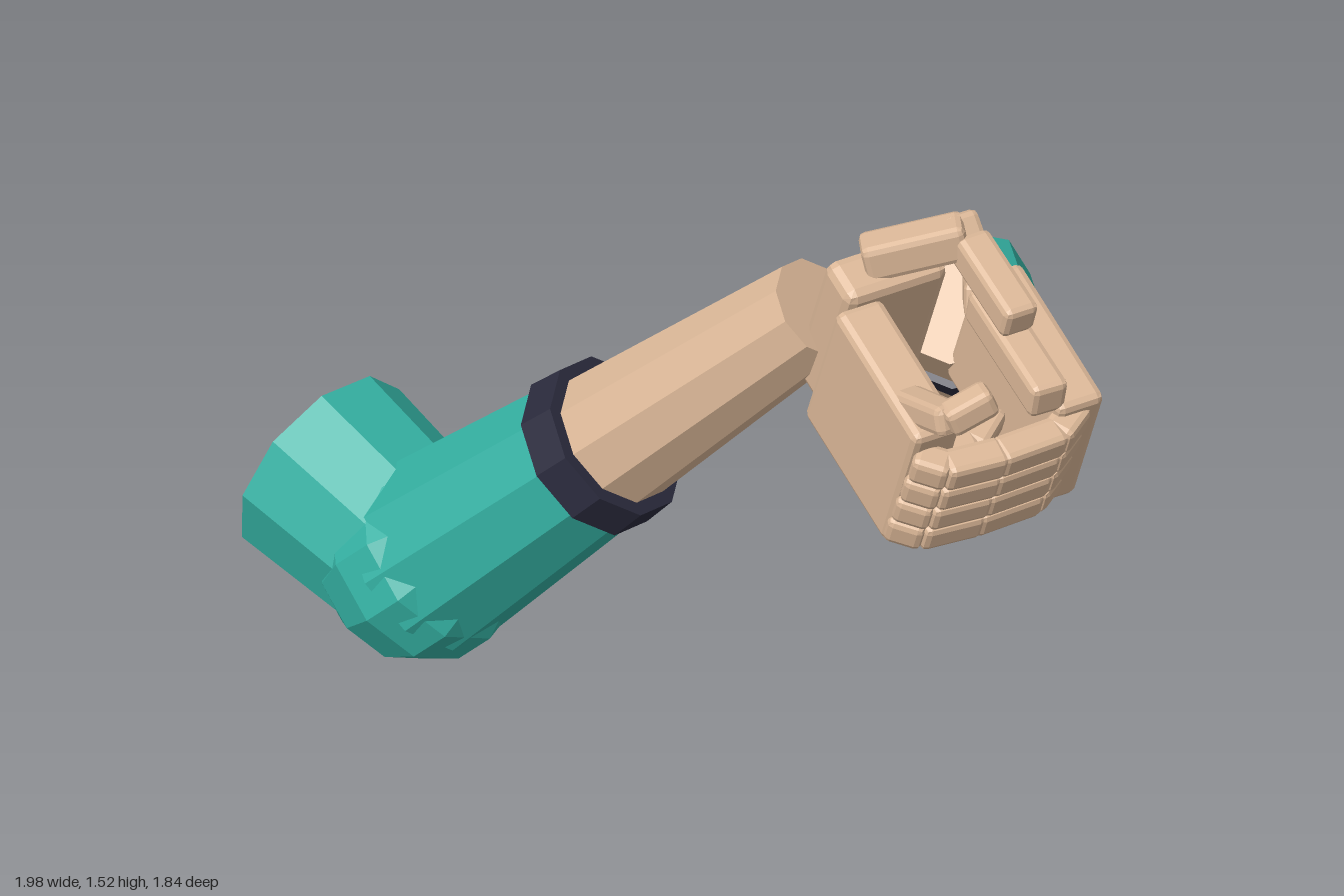
import * as THREE from 'three';
import { RoundedBoxGeometry } from 'three/addons/geometries/RoundedBoxGeometry.js';

const mat = (color) => new THREE.MeshStandardMaterial({ color, flatShading: true });
const skin = mat(0xdcb898), teal = mat(0x34b0a2), dark = mat(0x2b2b3d);
const V = (p) => new THREE.Vector3(...p);
const UP = new THREE.Vector3(0, 1, 0);

function add(parent, name, geometry, material, position = [0, 0, 0]) {
  const m = new THREE.Mesh(geometry, material);
  m.name = name;
  m.position.set(...position);
  parent.add(m);
  return m;
}

// Ten-sided tapered limb between two points
function limb(parent, name, a, b, ra, rb, material) {
  const d = b.clone().sub(a);
  const m = add(parent, name, new THREE.CylinderGeometry(rb, ra, d.length(), 10), material,
    a.clone().add(b).multiplyScalar(0.5).toArray());
  m.quaternion.setFromUnitVectors(UP, d.normalize());
  return m;
}

// Box with chamfered edges
function block(parent, name, size, position, material = skin, chamfer = 0.018) {
  return add(parent, name, new RoundedBoxGeometry(...size, 1, chamfer), material, position);
}

// Chamfered finger bone from a to b
function bone(parent, name, a, b, w, h = w) {
  const p = V(a), q = V(b);
  const m = add(null ?? new THREE.Group(), name,
    new RoundedBoxGeometry(w, h, p.distanceTo(q) + 0.02, 1, 0.016), skin,
    p.clone().add(q).multiplyScalar(0.5).toArray());
  m.removeFromParent();
  m.lookAt(q);
  parent.add(m);
}

// Jointed finger through a list of points
function finger(parent, name, points, w, h = w) {
  for (let i = 1; i < points.length; i++) bone(parent, name, points[i - 1], points[i], w, h);
}

function arm(name, shoulder, elbow, cuff, wrist) {
  const g = new THREE.Group();
  g.name = name;
  const [s, e, c, w] = [shoulder, elbow, cuff, wrist].map(V);
  const dir = w.clone().sub(e).normalize();
  const along = (p, t) => p.clone().addScaledVector(dir, t);
  limb(g, 'upperSleeve', e, s, 0.215, 0.24, teal);
  const ball = add(g, 'elbow', new THREE.SphereGeometry(0.235, 10, 7), teal, elbow);
  ball.quaternion.setFromUnitVectors(UP, dir);
  limb(g, 'lowerSleeve', e, c, 0.225, 0.18, teal);
  limb(g, 'cuff', along(c, -0.045), along(c, 0.045), 0.2, 0.193, dark);
  limb(g, 'forearm', c, w, 0.165, 0.12, skin);
  return g;
}

export function createModel() {
  const model = new THREE.Group();
  model.name = 'claspedArms';

  // Arms
  const left = arm('leftArm', [0.76, 0.34, -0.79], [0.7, 0.235, -0.46], [0.45, 0.67, -0.09], [0.175, 1.15, 0.32]);
  const right = arm('rightArm', [-0.76, 0.4, -0.84], [-0.69, 0.315, -0.51], [-0.44, 0.73, -0.16], [-0.14, 1.23, 0.26]);
  model.add(left, right);

  // Wristwatch on the left arm
  const axis = V([-0.25, 0.44, 0.37]).normalize();
  const mid = V([0.25, 1.02, 0.21]);
  limb(left, 'watchBand', mid.clone().addScaledVector(axis, -0.035), mid.clone().addScaledVector(axis, 0.035), 0.15, 0.147, dark);
  const watch = new THREE.Group();
  watch.name = 'watch';
  const out = V([0.9, 0.43, 0.09]);
  out.addScaledVector(axis, -out.dot(axis)).normalize();
  const side = axis.clone().cross(out);
  watch.quaternion.setFromRotationMatrix(new THREE.Matrix4().makeBasis(side, axis, out));
  watch.position.copy(mid).addScaledVector(out, 0.145);
  block(watch, 'watchCase', [0.12, 0.12, 0.045], [0, 0, 0], dark, 0.012);
  block(watch, 'watchFace', [0.085, 0.085, 0.02], [0, 0, 0.02], teal, 0.006);
  left.add(watch);

  // Both hands share a forward tilt
  const hands = new THREE.Group();
  hands.name = 'hands';
  hands.position.set(0, 1.106, 0.595);
  hands.rotation.x = 0.38;
  model.add(hands);
  block(hands, 'leftPalm', [0.12, 0.36, 0.4], [0.195, 0, 0]);
  block(hands, 'rightPalm', [0.12, 0.38, 0.38], [-0.16, 0.01, -0.02]);
  block(hands, 'rightHandBack', [0.26, 0.39, 0.12], [-0.06, 0.035, -0.265], skin, 0.025);

  // Left fingers wrap across the front, right fingers fold inside them
  for (let i = 0; i < 4; i++) {
    const y = 0.115 - i * 0.08, z = 0.205 - i * 0.006;
    finger(hands, 'leftFinger', [[0.2, y, z - 0.03], [0.13, y, z + 0.015], [-0.02, y, z + 0.02],
      [-0.15, y, z + 0.01], [-0.2, y, z - 0.035]], 0.075, 0.074);
    if (i > 0) finger(hands, 'rightFinger', [[-0.16, y, 0.12], [-0.02, y, 0.13], [0.06, y, 0.07]], 0.07);
  }

  // Raised right index finger and the two thumbs
  finger(model, 'rightIndexFinger', [[-0.17, 1.24, 0.69], [-0.16, 1.29, 0.87], [-0.07, 1.325, 0.885]], 0.07);
  finger(model, 'rightThumb', [[-0.1, 1.435, 0.41], [0.09, 1.48, 0.5]], 0.09);
  finger(model, 'rightThumb', [[0.1, 1.49, 0.5], [0.1, 1.42, 0.42]], 0.085);
  finger(model, 'rightThumb', [[0.1, 1.46, 0.52], [0.1, 1.385, 0.73]], 0.085);
  finger(model, 'leftThumb', [[0.19, 1.27, 0.42], [0.13, 1.31, 0.53], [0.115, 1.23, 0.83]], 0.09);
  return model;
}
